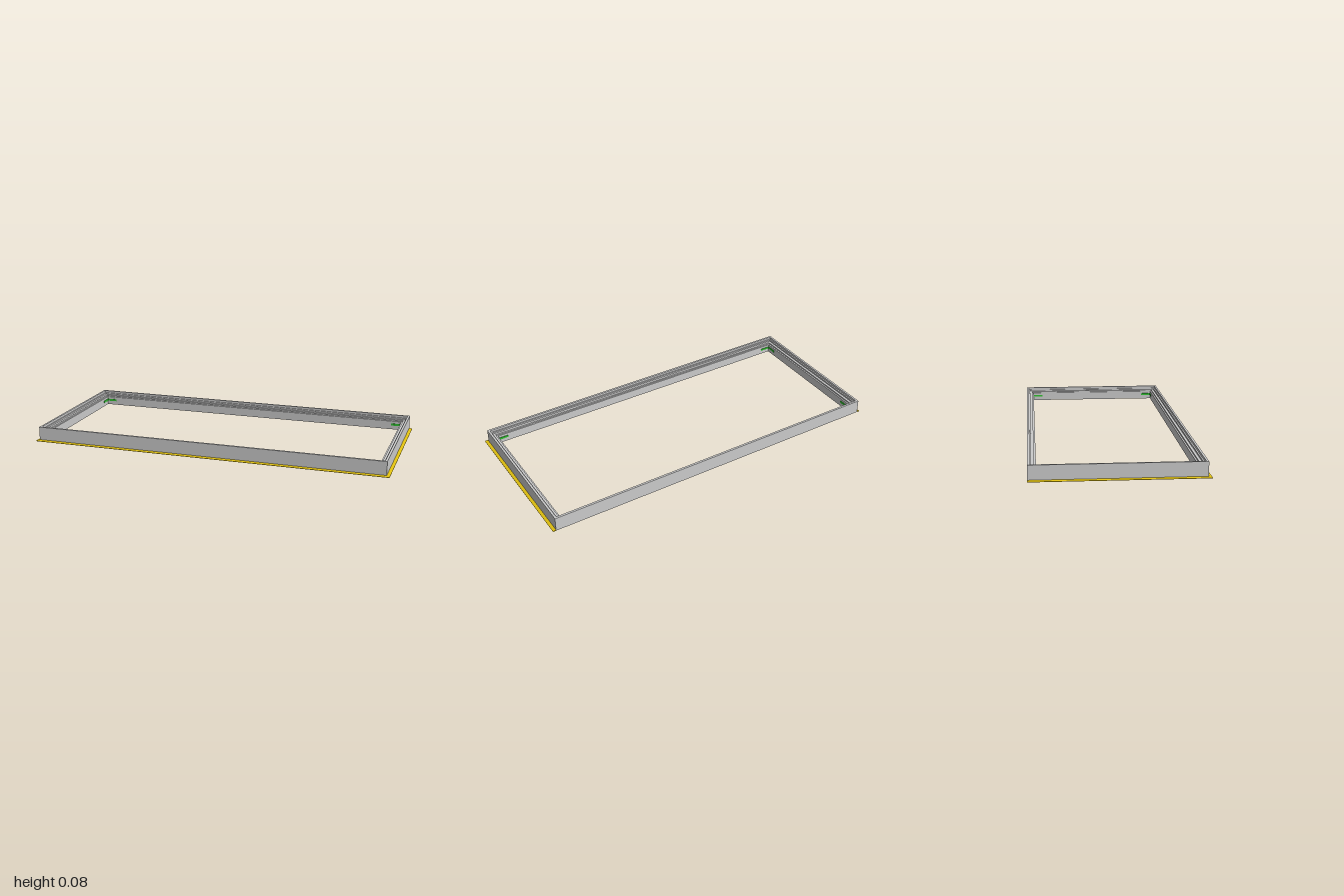
import * as THREE from 'three';

// Frame outline: half width, half depth and centre in z
const HX = 0.983, HZ = 0.4355, CZ = -0.0075, BACK = CZ - HZ;
const CORNERS = [[-1, -1], [-1, 1], [1, 1], [1, -1]];

// Sweeps a section of [inset, height] points round the frame corners with mitred joints.
// A closed sweep makes a full ring; an open one leaves out the back and caps both ends.
function sweep(section, closed) {
  const rings = CORNERS.map(([sx, sz]) => section.map(([d, y]) => [
    sx * (HX - d), y, !closed && sz < 0 ? BACK : CZ + sz * (HZ - d),
  ]));
  const pos = [];
  const tri = (a, b, c) => pos.push(...a, ...b, ...c);
  const n = section.length;
  for (let i = 0; i < (closed ? 4 : 3); i++) {
    const a = rings[i], b = rings[(i + 1) % 4];
    for (let j = 0; j < n; j++) {
      const k = (j + 1) % n;
      tri(a[j], b[j], b[k]);
      tri(a[j], b[k], a[k]);
    }
  }
  if (!closed) {
    for (let j = 1; j < n - 1; j++) {
      tri(rings[0][0], rings[0][j], rings[0][j + 1]);
      tri(rings[3][0], rings[3][j + 1], rings[3][j]);
    }
  }
  const geo = new THREE.BufferGeometry();
  geo.setAttribute('position', new THREE.Float32BufferAttribute(pos, 3));
  geo.computeVertexNormals();
  return geo;
}

export function createModel() {
  const model = new THREE.Group();
  model.name = 'rectangularFrame';
  const add = (name, geo, color, parent = model) => {
    const mesh = new THREE.Mesh(geo, new THREE.MeshStandardMaterial({ color }));
    mesh.name = name;
    parent.add(mesh);
    return mesh;
  };

  // Mitred frame with a stepped rebate on the inside
  add('frame', sweep([
    [0, 0.001], [0, 0.08], [0.012, 0.08], [0.012, 0.067], [0.02, 0.067],
    [0.02, 0.058], [0.034, 0.058], [0.034, 0.05], [0.043, 0.05], [0.043, 0.001],
  ], true), 0xcccccc);

  // Thin tapered flange along the front and both ends
  add('flange', sweep([
    [-0.017, 0], [-0.017, 0.002], [-0.001, 0.006], [0.004, 0.006], [0.004, 0],
  ], false), 0xe0c010);

  // Small brackets inside the corners
  const arm = 0.06, thick = 0.003, tall = 0.012, inset = 0.043;
  for (const [sx, sz] of CORNERS) {
    const bracket = new THREE.Group();
    bracket.name = 'cornerBracket';
    bracket.position.set(sx * (HX - inset), 0.03, CZ + sz * (HZ - inset));
    model.add(bracket);
    add('bracketArmX', new THREE.BoxGeometry(arm, tall, thick), 0x30c030, bracket)
      .position.set(-sx * arm / 2, 0, -sz * thick / 2);
    add('bracketArmZ', new THREE.BoxGeometry(thick, tall, arm), 0x30c030, bracket)
      .position.set(-sx * thick / 2, 0, -sz * arm / 2);
  }
  return model;
}
